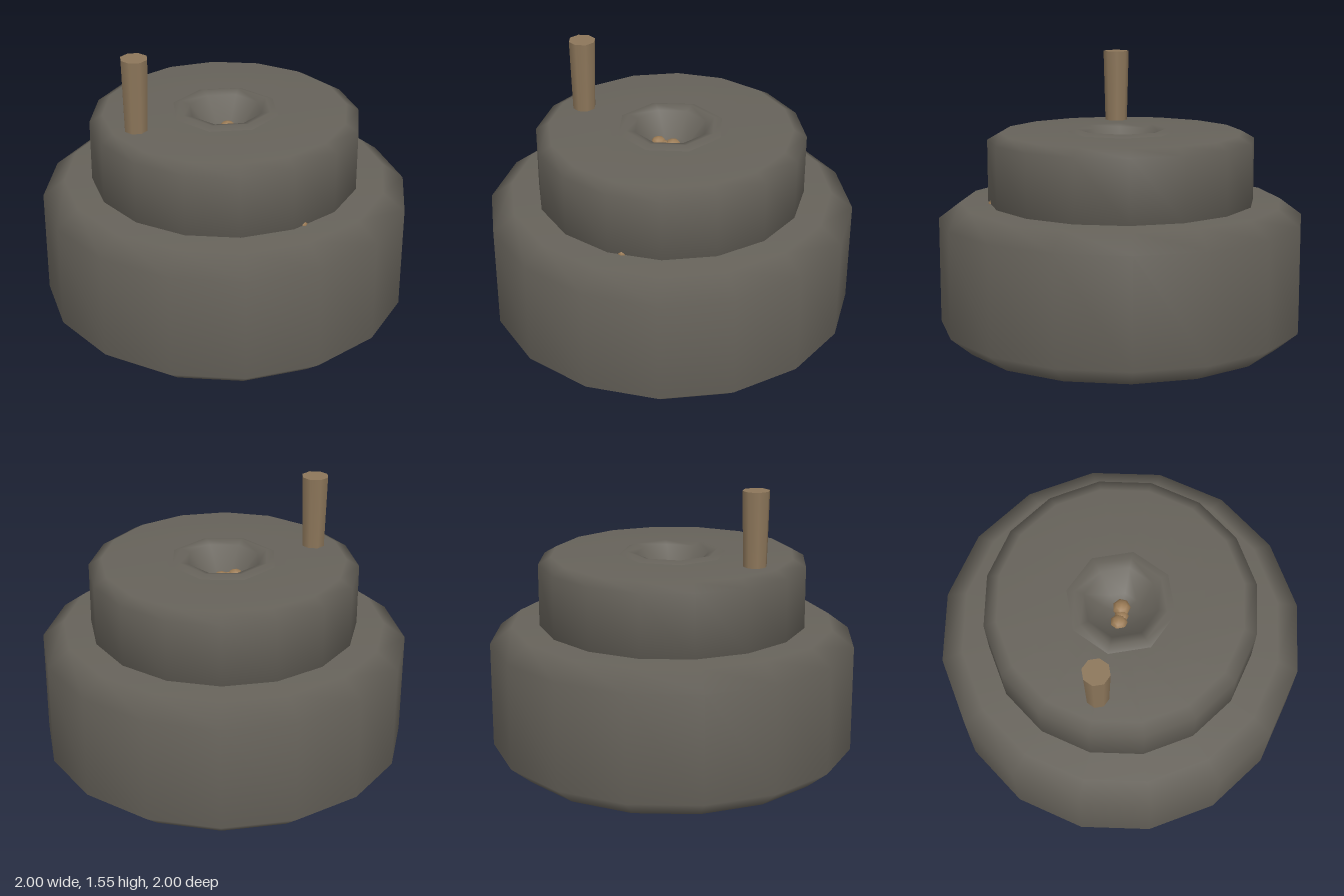
import * as THREE from 'three';

export function createModel() {
  const group = new THREE.Group();
  const mat = (name, color) => {
    const m = new THREE.MeshStandardMaterial({ color });
    m.name = name;
    return m;
  };
  const stone = mat('stone', 0x66625a);
  const wood = mat('wood', 0x8c765a);
  const grain = mat('grain', 0x9c7c56);

  const add = (name, geometry, material, x = 0, y = 0, z = 0) => {
    const mesh = new THREE.Mesh(geometry, material);
    mesh.name = name;
    mesh.position.set(x, y, z);
    group.add(mesh);
    return mesh;
  };
  // Turned part from [radius, height] pairs, bottom to top
  const turned = (profile, sides) =>
    new THREE.LatheGeometry(profile.map(([r, y]) => new THREE.Vector2(r, y)), sides);

  // Wide bottom stone with chamfered edges
  add('lowerStone', turned(
    [[0, 0], [0.88, 0], [1, 0.1], [1, 0.68], [0.88, 0.77], [0, 0.77]], 16), stone);

  // Smaller turning stone, open in the middle for the hopper
  add('upperStone', turned(
    [[0.6, 0.772], [0.73, 0.772], [0.73, 1.11], [0.66, 1.15], [0.26, 1.15]], 16), stone);

  // Eight-sided raised rim and funnel
  add('hopper', turned(
    [[0.3, 1.148], [0.25, 1.165], [0.2, 1.15], [0.1, 1.03], [0, 1.02]], 8), stone);

  // Tapered upright handle
  add('handle', new THREE.CylinderGeometry(0.073, 0.062, 0.42, 8), wood, -0.53, 1.34, 0);

  // Grain lying in the funnel, and one kernel at the seam
  const kernels = [[-0.07, 1.025, 0.005, 0.048], [0.015, 1.025, 0, 0.05], [-0.03, 1.02, 0.01, 0.04],
    [0.07, 0.768, 0.702, 0.024]];
  for (const [x, y, z, r] of kernels) {
    add('grainKernel', new THREE.SphereGeometry(r, 7, 5), grain, x, y, z);
  }
  return group;
}
